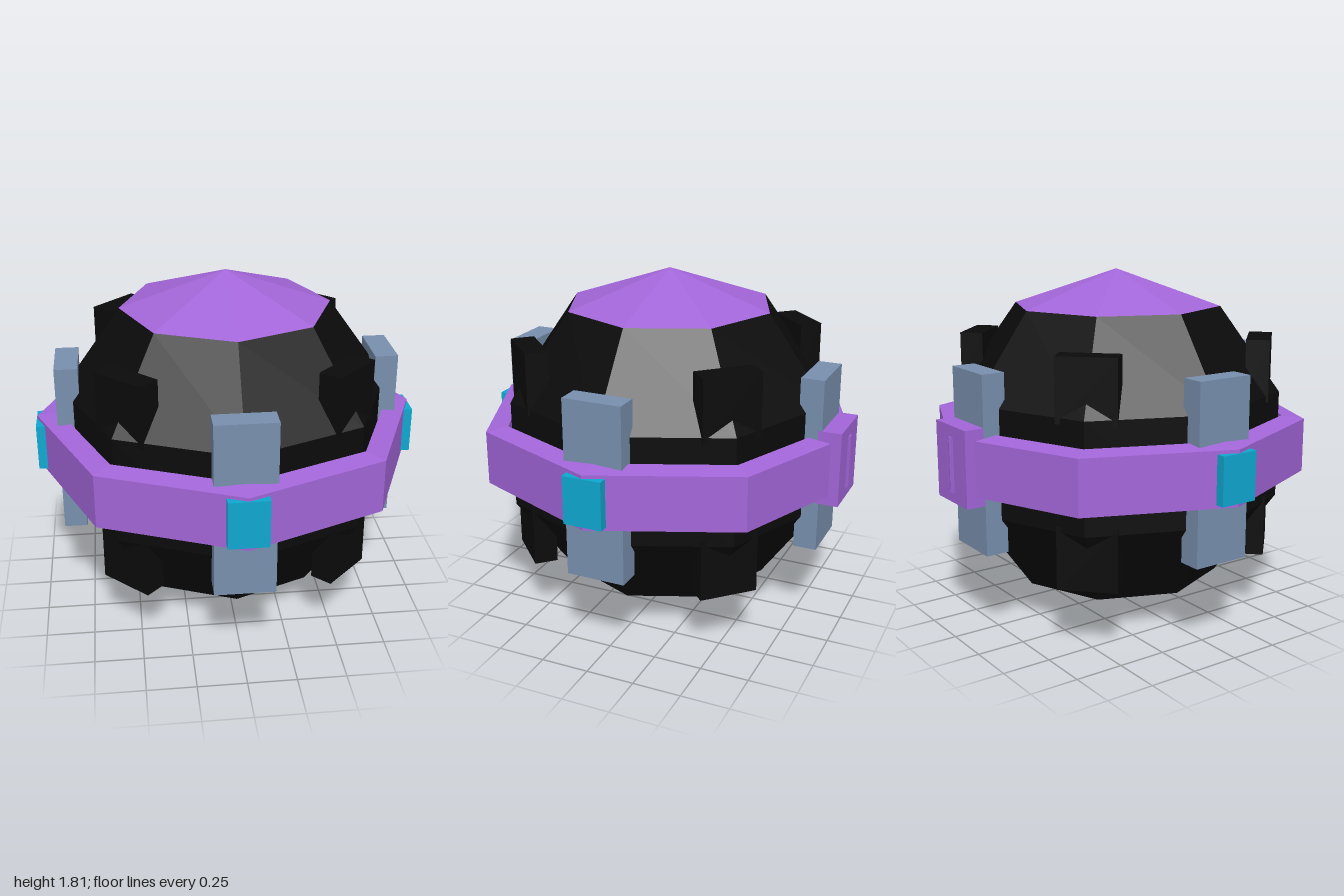
import * as THREE from 'three';

const MID = 0.905; // height of the equator

export function createModel() {
  const model = new THREE.Group();
  model.name = 'bandedOrb';

  const mat = (name, color) => {
    const m = new THREE.MeshStandardMaterial({ color });
    m.name = name;
    return m;
  };
  const black = mat('black', 0x0b0b0b);
  const purple = mat('purple', 0xa366d9);
  const slate = mat('slate', 0x788fae);
  const cyan = mat('cyan', 0x0fa8d0);

  // Eight-sided faceted turning; the profile is [radius, height above equator]
  const turned = (name, profile, material) => {
    const points = profile.map(([r, y]) => new THREE.Vector2(r, y));
    const geometry = new THREE.LatheGeometry(points, 8).toNonIndexed();
    geometry.computeVertexNormals();
    const mesh = new THREE.Mesh(geometry, material);
    mesh.name = name;
    mesh.position.y = MID;
    model.add(mesh);
  };

  // Upright box turned to face outward, its outer face at radius r
  const block = (name, angle, [w, h, d], r, y, material) => {
    const mesh = new THREE.Mesh(new THREE.BoxGeometry(w, h, d), material);
    mesh.name = name;
    mesh.rotation.y = angle;
    mesh.position.set(Math.sin(angle) * (r - d / 2), y, Math.cos(angle) * (r - d / 2));
    model.add(mesh);
  };

  // Orb body and its coloured caps
  turned('body', [[0.545, -0.72], [0.861, -0.28], [0.861, 0.28], [0.545, 0.72]], black);
  turned('topCap', [[0.545, 0.72], [0, 0.905]], purple);
  turned('bottomCap', [[0, -0.905], [0.545, -0.72]], purple);

  // Equatorial band, a little thicker on its inner edge
  turned('band', [[0.88, -0.155], [0.995, -0.14], [0.995, 0.14], [0.88, 0.155], [0.88, -0.155]], purple);

  for (let i = 0; i < 4; i++) {
    const side = i * Math.PI / 2;
    // Clamps on the four sides
    block('clamp', side, [0.305, 0.91, 0.12], 0.885, MID + 0.003, slate);
    // Lights on the band, with a buckle at the back
    if (i === 2) block('backBuckle', side, [0.305, 0.39, 0.12], 0.985, MID + 0.003, purple);
    else block('bandLight', side, [0.2, 0.245, 0.1], 1, MID, cyan);
    // Studs on the diagonals, above and below the band
    for (const s of [1, -1]) {
      block('stud', side + Math.PI / 4, [0.3, 0.32, 0.12], 0.81, MID + s * 0.41, black);
    }
  }
  return model;
}
